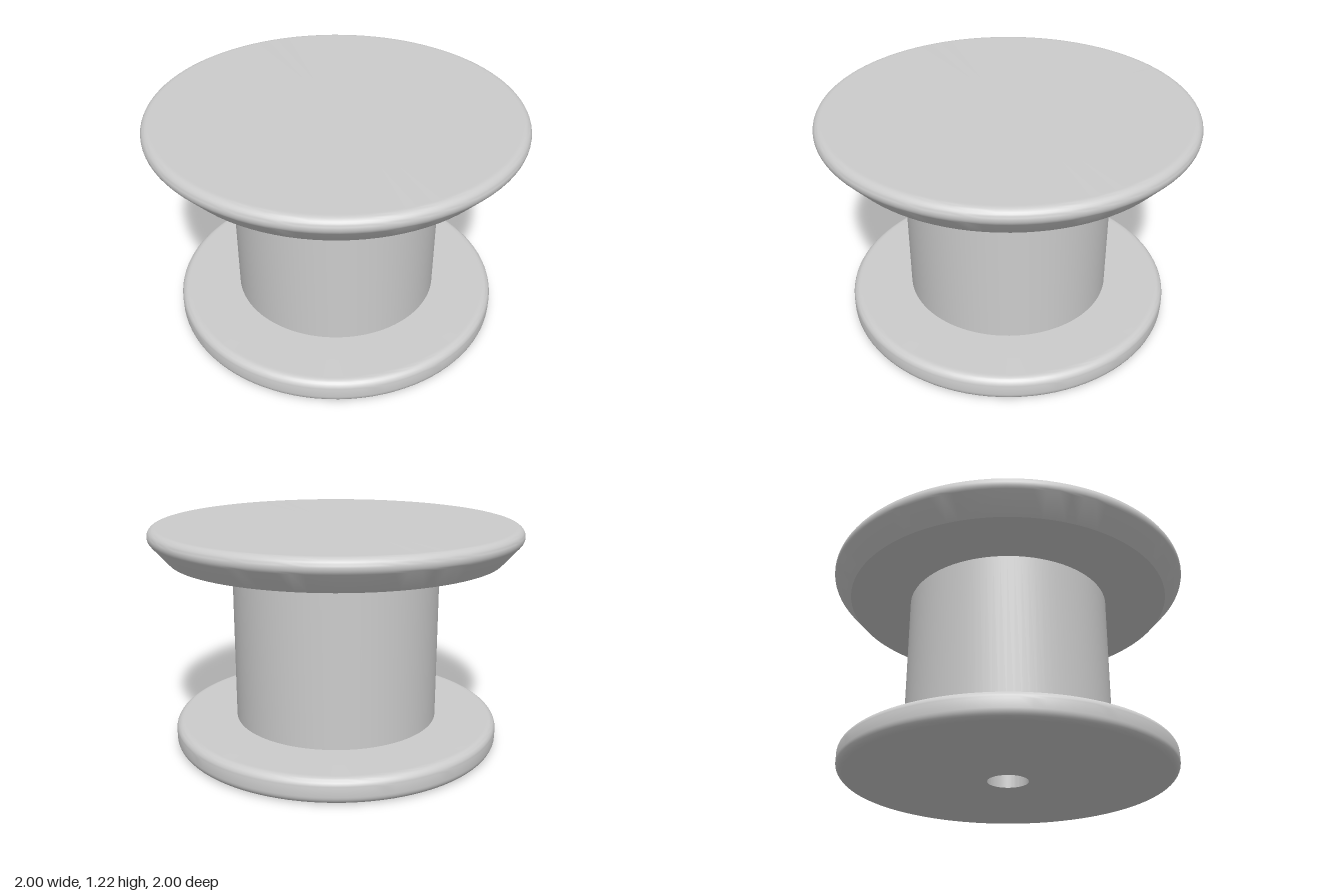
import * as THREE from 'three';
import { toCreasedNormals } from 'three/addons/utils/BufferGeometryUtils.js';

const SEGMENTS = 96;
const FILLET = 0.045;

// Points of a rounded edge, swept between two angles in degrees
function arc(cx, cy, from, to, steps = 8) {
  const points = [];
  for (let i = 0; i <= steps; i++) {
    const a = THREE.MathUtils.degToRad(from + ((to - from) * i) / steps);
    points.push([cx + FILLET * Math.cos(a), cy + FILLET * Math.sin(a)]);
  }
  return points;
}

// Turned part: profile runs with its outer side on the right
function turned(name, profile) {
  const points = profile.map(([r, y]) => new THREE.Vector2(r, y));
  const geometry = toCreasedNormals(new THREE.LatheGeometry(points, SEGMENTS), 0.5);
  const mesh = new THREE.Mesh(geometry, new THREE.MeshStandardMaterial({ color: 0xcccccc }));
  mesh.name = name;
  return mesh;
}

export function createModel() {
  const group = new THREE.Group();
  group.name = 'spool';

  const bore = 0.111, core = 0.563;
  const baseRadius = 0.9, baseTop = 0.135;
  const rimBottom = 1.04, rimTop = 1.215;

  // Lower flange with both edges rounded
  const c = baseRadius - FILLET;
  group.add(turned('lowerFlange', [
    [bore, 0], [c - 0.01, 0],
    ...arc(c, FILLET, -90, 0),
    ...arc(c, baseTop - FILLET, 0, 90),
    [c - 0.01, baseTop], [core, baseTop],
  ]));

  // Central column
  group.add(turned('column', [[core, baseTop], [core, rimBottom]]));

  // Blind hole up the axis from the underside
  group.add(turned('bore', [[0, rimBottom], [bore, rimBottom], [bore, 0]]));

  // Upper flange: flat underside, flared side, rounded top edge
  const t = 1 - FILLET;
  group.add(turned('upperFlange', [
    [core, rimBottom], [0.9, rimBottom],
    ...arc(t, rimTop - FILLET, -41, 90, 12),
    [t - 0.01, rimTop], [0, rimTop],
  ]));

  return group;
}
